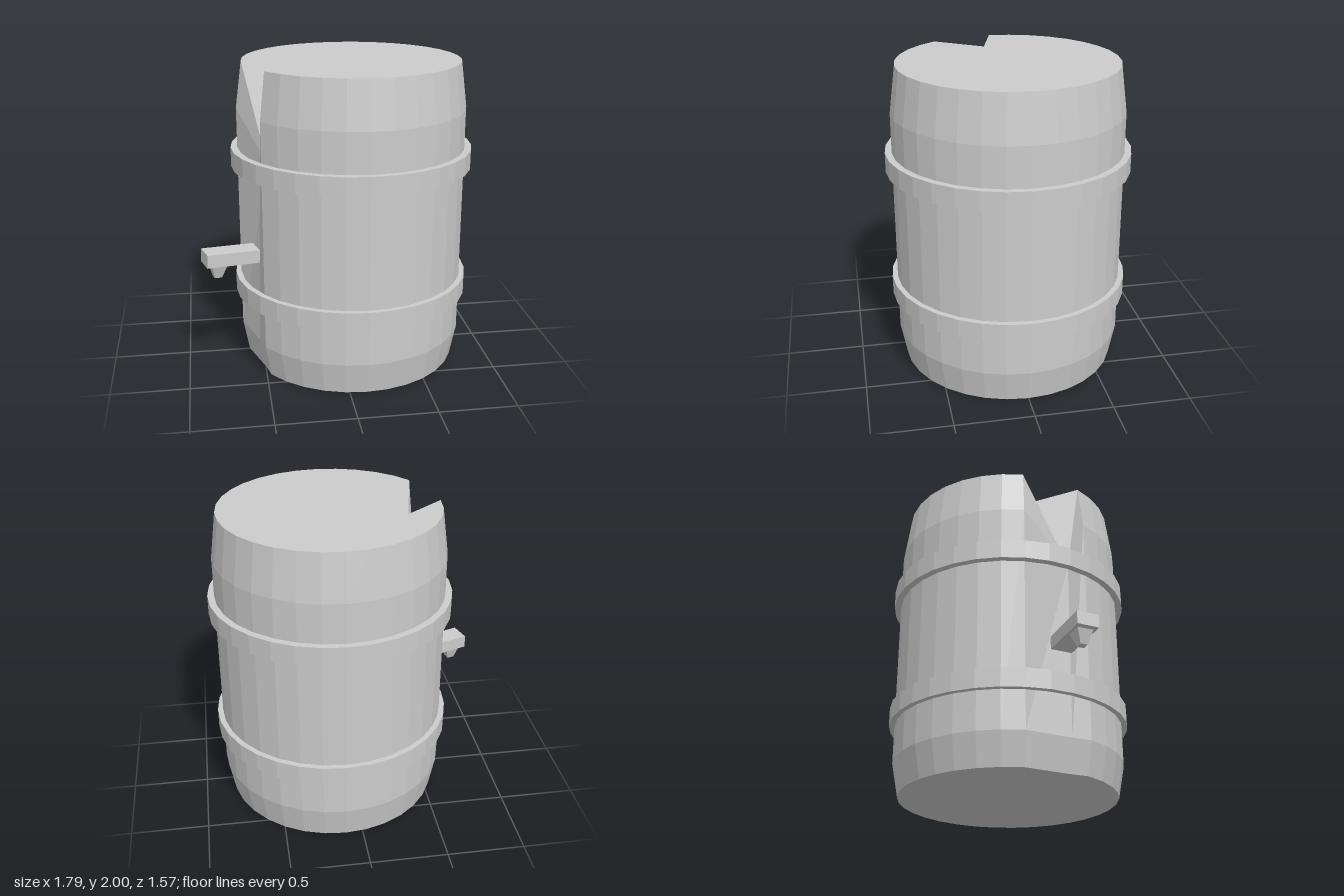
import * as THREE from 'three';

const SIDES = 32, CX = 0.11;
const NOTCH = [-0.46, 1.41, 0.31]; // deepest point of the split in the top
const mat = () => new THREE.MeshStandardMaterial({ color: 0xcccccc, flatShading: true });

function mesh(name, geometry, material = mat()) {
  const m = new THREE.Mesh(geometry, material);
  m.name = name;
  return m;
}

function fromTriangles(tris) {
  const g = new THREE.BufferGeometry();
  g.setAttribute('position', new THREE.Float32BufferAttribute(tris.flat(2), 3));
  g.computeVertexNormals();
  return g;
}

// One horizontal ring of the body; the notch column replaces corners 14 and 15
function section(r, y, notchPoint) {
  const pts = [];
  for (let i = 0; i < SIDES; i++) {
    if (i === 15) continue;
    const a = (i / SIDES) * Math.PI * 2;
    pts.push(i === 14 ? notchPoint : [CX + r * Math.cos(a), y, r * Math.sin(a)]);
  }
  return pts;
}

export function createModel() {
  const model = new THREE.Group();
  model.name = 'barrel';

  // Staves: straight belly with tapered ends
  const rows = [
    section(0.70, 0, [-0.50, 0, 0.27]),
    section(0.74, 0.21, [-0.535, 0.21, 0.29]),
    section(0.74, 1.70, NOTCH),
    section(0.70, 2, NOTCH),
  ];
  const n = rows[0].length, sides = [], top = [], bottom = [];
  for (let k = 0; k < 3; k++) {
    for (let j = 0; j < n; j++) {
      const b = (j + 1) % n, lo = rows[k], up = rows[k + 1];
      if (lo[j] !== up[j]) sides.push([lo[j], up[j], lo[b]]);
      if (lo[b] !== up[b]) sides.push([lo[b], up[j], up[b]]);
    }
  }
  model.add(mesh('staves', fromTriangles(sides)));

  // Lid: a fan from one rim corner, so the notch folds down as a groove
  const apex = 24, rim = rows[3];
  for (let j = 0; j < n; j++) {
    const b = (j + 1) % n;
    if (j !== apex && b !== apex) top.push([rim[apex], rim[b], rim[j]]);
    bottom.push([[CX, 0, 0], rows[0][j], rows[0][b]]);
  }
  const lid = fromTriangles(top);
  const normals = lid.attributes.normal;
  for (let i = 0; i < normals.count; i++) normals.setXYZ(i, 0, 1, 0);
  model.add(mesh('lid', lid, new THREE.MeshStandardMaterial({ color: 0xcccccc })));
  model.add(mesh('base', fromTriangles(bottom)));

  // Hoops
  for (const [name, r, y0, y1] of [['lowerHoop', 0.775, 0.46, 0.583], ['upperHoop', 0.783, 1.32, 1.445]]) {
    const profile = [[0.738, y0], [r, y0], [r, y1], [0.738, y1], [0.738, y0]]
      .map(([x, y]) => new THREE.Vector2(x, y));
    const hoop = mesh(name, new THREE.LatheGeometry(profile, SIDES));
    hoop.position.x = CX;
    model.add(hoop);
  }

  // Tap: tilted square spout with a tapered nozzle beneath
  const tap = new THREE.Group();
  tap.name = 'tap';
  tap.position.set(-0.707, 0.81, 0.283);
  tap.rotation.set(0, 0.28, -0.05, 'YXZ');
  tap.add(mesh('spout', new THREE.BoxGeometry(0.345, 0.085, 0.142)));
  const nozzle = mesh('nozzle', new THREE.CylinderGeometry(0.075, 0.033, 0.095, 4).rotateY(Math.PI / 4));
  nozzle.position.set(-0.085, -0.085, 0);
  tap.add(nozzle);
  model.add(tap);

  return model;
}
